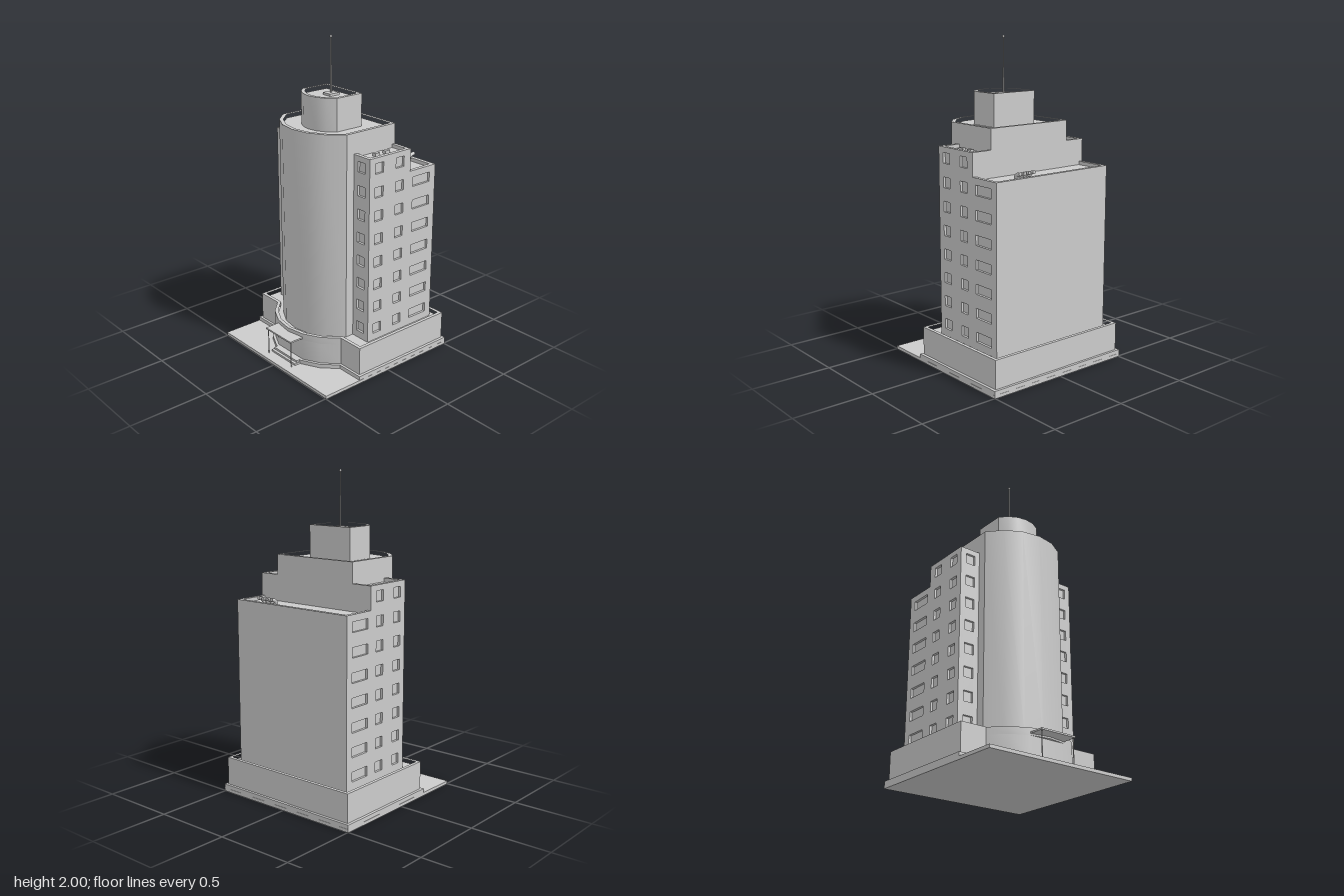
import * as THREE from 'three';
import { toCreasedNormals } from 'three/addons/utils/BufferGeometryUtils.js';

const grey = new THREE.MeshStandardMaterial({ color: 0xcccccc });

export function createModel() {
  const model = new THREE.Group();

  const add = (name, geometry, x = 0, y = 0, z = 0) => {
    const mesh = new THREE.Mesh(geometry, grey);
    mesh.name = name;
    mesh.position.set(x, y, z);
    model.add(mesh);
    return mesh;
  };

  // box given by its minimum and maximum on each axis
  const box = (name, x0, x1, y0, y1, z0, z1) =>
    add(name, new THREE.BoxGeometry(x1 - x0, y1 - y0, z1 - z0), (x0 + x1) / 2, (y0 + y1) / 2, (z0 + z1) / 2);

  // plan outline: straight back and sides, a bowed front in six facets;
  // flatFront leaves out the middle point of the bow
  const plan = ({ side, back, shoulder, bow, front }, flatFront = false) => {
    const rise = front - shoulder;
    const radius = (bow * bow + rise * rise) / (2 * rise);
    const half = Math.asin(bow / radius);
    const points = [[-side, back], [side, back]];
    if (side > bow) points.push([side, shoulder]);
    for (let i = 3; i >= -3; i--) {
      if (flatFront && i === 0) continue;
      const a = (half * i) / 3;
      points.push([radius * Math.sin(a), front - radius + radius * Math.cos(a)]);
    }
    if (side > bow) points.push([-side, shoulder]);
    return points.map(([x, z]) => new THREE.Vector2(x, -z));
  };

  // upright prism over a plan, optionally hollow
  const prism = (name, outline, y0, y1, hole) => {
    const shape = new THREE.Shape(outline);
    if (hole) shape.holes.push(new THREE.Path(hole));
    const geometry = new THREE.ExtrudeGeometry(shape, { depth: y1 - y0, bevelEnabled: false });
    geometry.rotateX(-Math.PI / 2);
    return add(name, toCreasedNormals(geometry, 0.5), 0, y0, 0);
  };

  // ground slab and plinth
  box('groundSlab', -0.505, 0.505, 0, 0.02, -0.505, 0.5);
  prism('plinth', plan({ side: 0.504, back: -0.504, shoulder: 0.237, bow: 0.326, front: 0.402 }), 0.02, 0.045);

  // podium with a flat entrance front and a parapet
  const podium = plan({ side: 0.486, back: -0.488, shoulder: 0.222, bow: 0.317, front: 0.385 });
  const podiumFlat = plan({ side: 0.486, back: -0.488, shoulder: 0.222, bow: 0.317, front: 0.385 }, true);
  const podiumRoof = plan({ side: 0.465, back: -0.467, shoulder: 0.2, bow: 0.308, front: 0.363 });
  prism('podiumBase', podiumFlat, 0.045, 0.178);
  prism('podiumParapet', podium, 0.178, 0.222, podiumRoof);
  prism('podiumRoof', podiumRoof, 0.178, 0.2);

  // bowed central tower
  const tower = plan({ side: 0.295, back: -0.217, shoulder: 0.163, bow: 0.295, front: 0.327 });
  const towerRoof = plan({ side: 0.272, back: -0.195, shoulder: 0.153, bow: 0.272, front: 0.304 });
  prism('towerWall', tower, 0.2, 1.49, towerRoof);
  prism('towerRoof', towerRoof, 0.2, 1.468);

  // rooftop penthouse
  const penthouse = plan({ side: 0.158, back: -0.073, shoulder: 0.118, bow: 0.158, front: 0.202 });
  const penthouseRoof = plan({ side: 0.136, back: -0.052, shoulder: 0.11, bow: 0.136, front: 0.18 });
  prism('penthouseWall', penthouse, 1.468, 1.668, penthouseRoof);
  prism('penthouseRoof', penthouseRoof, 1.468, 1.646);

  // antenna
  box('antennaBase', -0.034, 0.034, 1.646, 1.66, -0.006, 0.064);
  add('antennaMast', new THREE.CylinderGeometry(0.004, 0.005, 0.34, 10), 0, 1.822, 0.029);
  add('antennaTip', new THREE.SphereGeometry(0.008, 12, 8), 0, 1.992, 0.029);

  // window rows, lowest first
  const rows = Array.from({ length: 8 }, (_, i) => 0.277 + i * 0.146);
  const opening = (cx, cy, w, h) => new THREE.Path([
    new THREE.Vector2(cx - w / 2, cy - h / 2), new THREE.Vector2(cx - w / 2, cy + h / 2),
    new THREE.Vector2(cx + w / 2, cy + h / 2), new THREE.Vector2(cx + w / 2, cy - h / 2),
  ]);
  const wall = 0.025;
  const zFront = 0.108, zStep = -0.217, zBack = -0.43;
  const yHigh = 1.365, yLow = 1.224, yBase = 0.2;

  // stepped side walls with window openings (shape x runs along -z)
  const sideShape = new THREE.Shape([
    [-zFront, yBase], [-zBack, yBase], [-zBack, yLow], [-zStep, yLow], [-zStep, yHigh], [-zFront, yHigh],
  ].map(([a, b]) => new THREE.Vector2(a, b)));
  rows.forEach((y, i) => {
    sideShape.holes.push(opening(-0.032, y, 0.064, 0.064), opening(0.132, y, 0.064, 0.064));
    if (i < 7) sideShape.holes.push(opening(0.312, y, 0.14, 0.06));
  });
  const sideGeometry = new THREE.ExtrudeGeometry(sideShape, { depth: wall, bevelEnabled: false });
  sideGeometry.rotateY(Math.PI / 2);
  add('leftSideWall', sideGeometry, 0.43 - wall);
  add('rightSideWall', sideGeometry, -0.43);

  // front walls of the wings
  const frontShape = new THREE.Shape([
    [-0.07, yBase], [0.07, yBase], [0.07, yHigh], [-0.07, yHigh],
  ].map(([a, b]) => new THREE.Vector2(a, b)));
  rows.forEach((y) => frontShape.holes.push(opening(0, y, 0.064, 0.064)));
  const frontGeometry = new THREE.ExtrudeGeometry(frontShape, { depth: wall, bevelEnabled: false });
  for (const s of [1, -1]) {
    const label = s > 0 ? 'left' : 'right';
    // mesh reaches from the tower side to the inside of the side wall
    const mesh = add(label + 'WingFrontWall', frontGeometry, s * 0.36, 0, zFront - wall);
    mesh.scale.x = 0.99;
    const x0 = s > 0 ? 0.28 : -0.405, x1 = s > 0 ? 0.405 : -0.28;
    box(label + 'WingRearParapet', x0, x1, yLow - 0.02, yHigh, zStep, zStep + 0.022);
  }

  // cores behind the windows, forming the recessed panes and roof decks
  const pane = 0.015;
  box('wingCore', -0.43 + pane, 0.43 - pane, yBase, yHigh - 0.022, zStep + 0.002, zFront - pane);
  box('rearCore', -0.43 + pane, 0.43 - pane, yBase, yLow - 0.022, zBack + 0.01, zStep + 0.002);
  box('rearWall', -0.405, 0.405, yBase, yLow, zBack, zBack + wall);

  // roof vents on the left wing
  for (const z of [-0.095, -0.016]) box('roofVent', 0.338, 0.362, 1.34, 1.362, z - 0.018, z + 0.018);

  // bent exhaust pipes on the rear roof
  const pipePath = new THREE.CatmullRomCurve3([
    new THREE.Vector3(0, 1.2, -0.385), new THREE.Vector3(0, 1.23, -0.386),
    new THREE.Vector3(0, 1.243, -0.398), new THREE.Vector3(0, 1.25, -0.426),
  ]);
  const pipe = new THREE.TubeGeometry(pipePath, 12, 0.011, 12);
  const pipeEnd = new THREE.CircleGeometry(0.011, 12);
  for (let i = 0; i < 4; i++) {
    const x = 0.149 + i * 0.0345;
    add('exhaustPipe', pipe, x);
    add('exhaustPipeEnd', pipeEnd, x, 1.25, -0.426).rotation.y = Math.PI;
  }

  // entrance steps, canopy and posts
  box('lowerStep', -0.118, 0.118, 0.02, 0.032, 0.36, 0.425);
  box('upperStep', -0.112, 0.112, 0.02, 0.045, 0.36, 0.408);
  box('canopy', -0.122, 0.122, 0.188, 0.198, 0.36, 0.461);
  for (const s of [1, -1]) {
    add('canopyPost', new THREE.CylinderGeometry(0.003, 0.003, 0.17, 8), s * 0.113, 0.104, 0.45);
  }
  return model;
}
